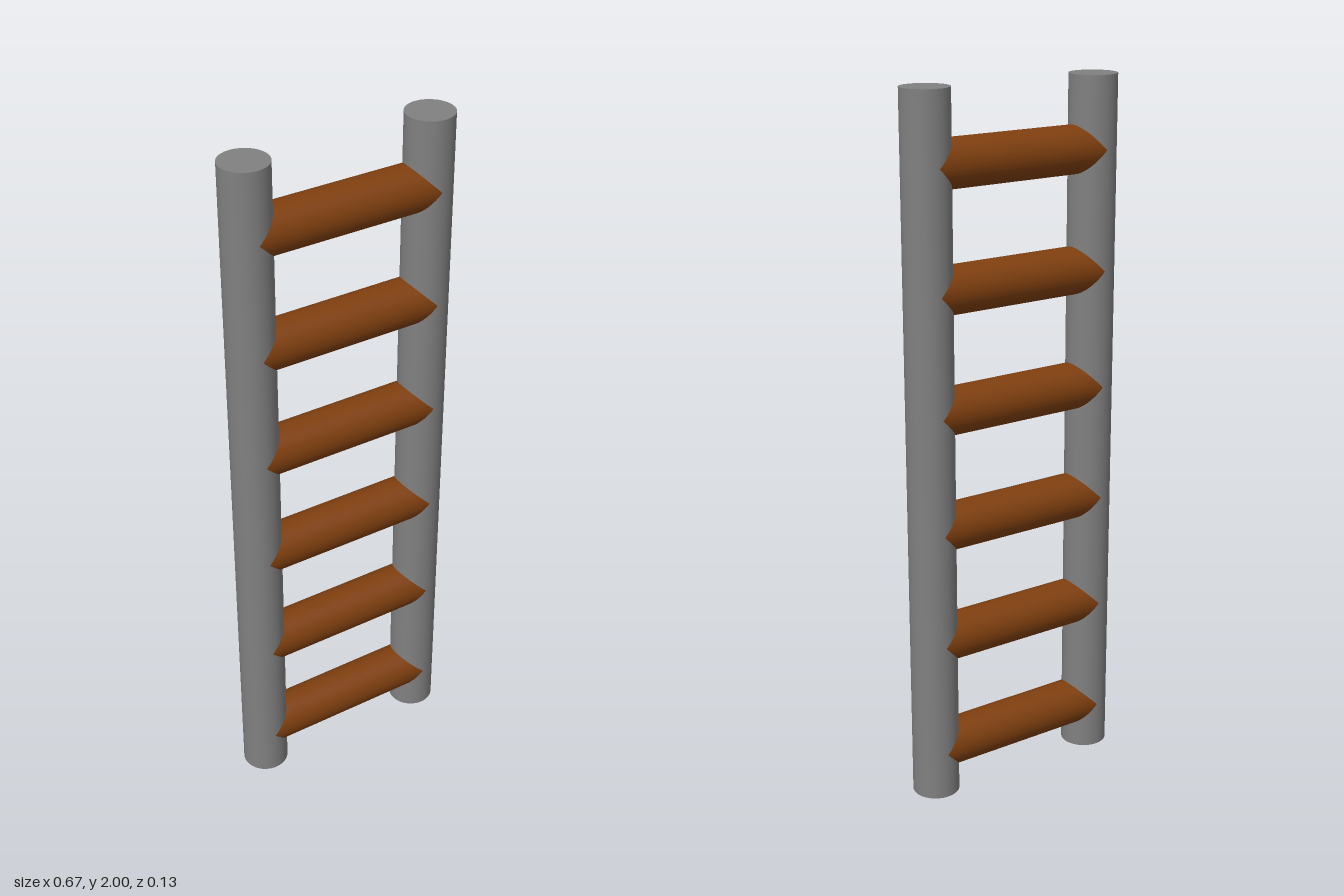
import * as THREE from 'three';

const RADIUS = 0.0667;   // rails and rungs share one thickness
const RAIL_X = 0.2667;
const HEIGHT = 2;
const RUNGS = 6;

export function createModel() {
  const ladder = new THREE.Group();
  ladder.name = 'ladder';

  const grey = new THREE.MeshStandardMaterial({ color: 0x808080 });
  grey.name = 'rail grey';
  const brown = new THREE.MeshStandardMaterial({ color: 0x7f3f0f });
  brown.name = 'rung brown';

  // Two upright round rails
  const railGeometry = new THREE.CylinderGeometry(RADIUS, RADIUS, HEIGHT, 48);
  for (const side of [-1, 1]) {
    const rail = new THREE.Mesh(railGeometry, grey);
    rail.name = side > 0 ? 'leftRail' : 'rightRail';
    rail.position.set(side * RAIL_X, HEIGHT / 2, 0);
    ladder.add(rail);
  }

  // Evenly spaced round rungs, running between the rail centres
  const rungGeometry = new THREE.CylinderGeometry(RADIUS, RADIUS, RAIL_X * 2, 48);
  rungGeometry.rotateZ(Math.PI / 2);
  for (let i = 0; i < RUNGS; i++) {
    const rung = new THREE.Mesh(rungGeometry, brown);
    rung.name = `rung${i + 1}`;
    rung.position.y = 2 * RADIUS + i * HEIGHT / RUNGS;
    ladder.add(rung);
  }

  return ladder;
}
